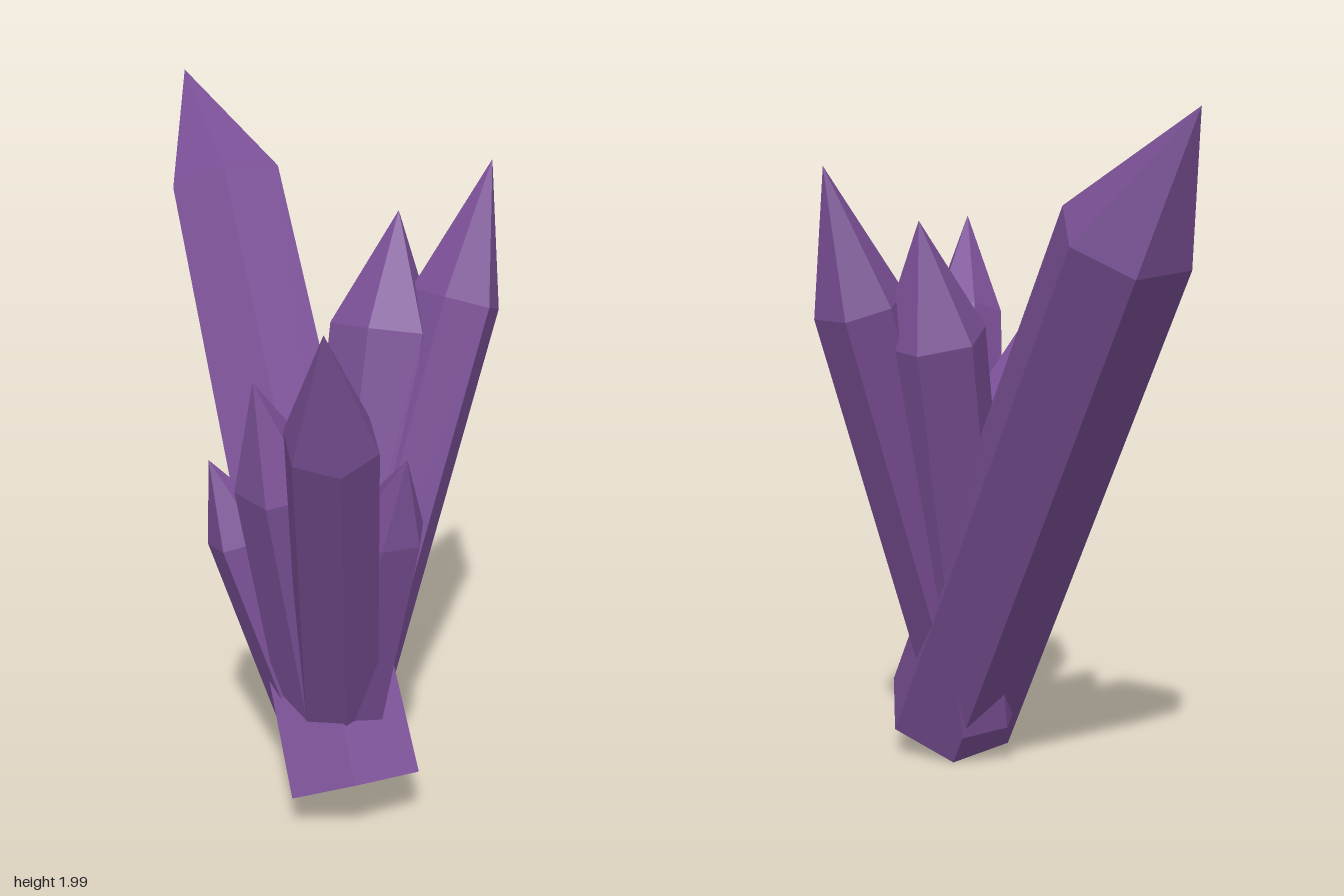
import * as THREE from 'three';

const V = (a) => new THREE.Vector3(...a);

// Six-sided crystal: flat base, tapering shaft, pointed tip.
// "corner" gives the direction in which one of the shaft edges lies.
function crystalGeometry({ base, shoulder, tip, rBase, rTop, corner }) {
  const b = V(base), s = V(shoulder), t = V(tip);
  const axis = s.clone().sub(b).normalize();
  const u = V(corner).projectOnPlane(axis).normalize();
  const w = axis.clone().cross(u);
  const ring = (c, r) => Array.from({ length: 6 }, (_, i) => {
    const a = i * Math.PI / 3;
    return c.clone().addScaledVector(u, r * Math.cos(a)).addScaledVector(w, r * Math.sin(a));
  });
  const lo = ring(b, rBase), hi = ring(s, rTop), pts = [];
  for (let i = 0; i < 6; i++) {
    const j = (i + 1) % 6;
    pts.push(lo[i], lo[j], hi[j], lo[i], hi[j], hi[i]); // shaft
    pts.push(hi[i], hi[j], t);                          // point
    pts.push(lo[j], lo[i], b);                          // base
  }
  const g = new THREE.BufferGeometry().setFromPoints(pts);
  g.computeVertexNormals();
  return g;
}

const root = [-0.05, 0.15, 0.3];
const crystals = [
  { name: 'mainCrystal', base: [-0.08, 0.12, 0.44], shoulder: [0.235, 1.675, -0.565], tip: [0.27, 2, -0.83],
    rBase: 0.215, rTop: 0.19, corner: [-0.18, 0.02, -0.03] },
  { name: 'frontRightCrystal', base: [-0.02, 0.15, 0.3], shoulder: [-0.42, 1.37, 0.71], tip: [-0.55, 1.7, 0.83],
    rBase: 0.12, rTop: 0.125, corner: [-1, 0, 0.05] },
  { name: 'leftCrystal', base: [-0.04, 0.15, 0.29], shoulder: [0.43, 1.47, 0.265], tip: [0.55, 1.86, 0.27],
    rBase: 0.125, rTop: 0.135, corner: [0, 0, 1] },
  { name: 'middleCrystal', base: root, shoulder: [0.27, 1.38, 0.135], tip: [0.35, 1.71, 0.1],
    rBase: 0.145, rTop: 0.16, corner: [0, 0, -1] },
  { name: 'smallFrontCrystal', base: [-0.06, 0.16, 0.33], shoulder: [-0.1, 1.0, 0.57], tip: [-0.135, 1.24, 0.68],
    rBase: 0.125, rTop: 0.11, corner: [1, 0, 0.3] },
  { name: 'rightCrystal', base: root, shoulder: [-0.28, 1.11, 0.35], tip: [-0.39, 1.42, 0.36],
    rBase: 0.125, rTop: 0.135, corner: [0, 0, 1] },
  { name: 'smallBackCrystal', base: root, shoulder: [-0.24, 0.87, 0.13], tip: [-0.33, 1.1, 0.08],
    rBase: 0.12, rTop: 0.115, corner: [0.2, 0, -1] },
];

export function createModel() {
  const group = new THREE.Group();
  group.name = 'crystalCluster';
  const purple = new THREE.MeshStandardMaterial({ color: 0x7b5097, flatShading: true });
  purple.name = 'purple';
  for (const c of crystals) {
    const mesh = new THREE.Mesh(crystalGeometry(c), purple);
    mesh.name = c.name;
    group.add(mesh);
  }
  return group;
}
